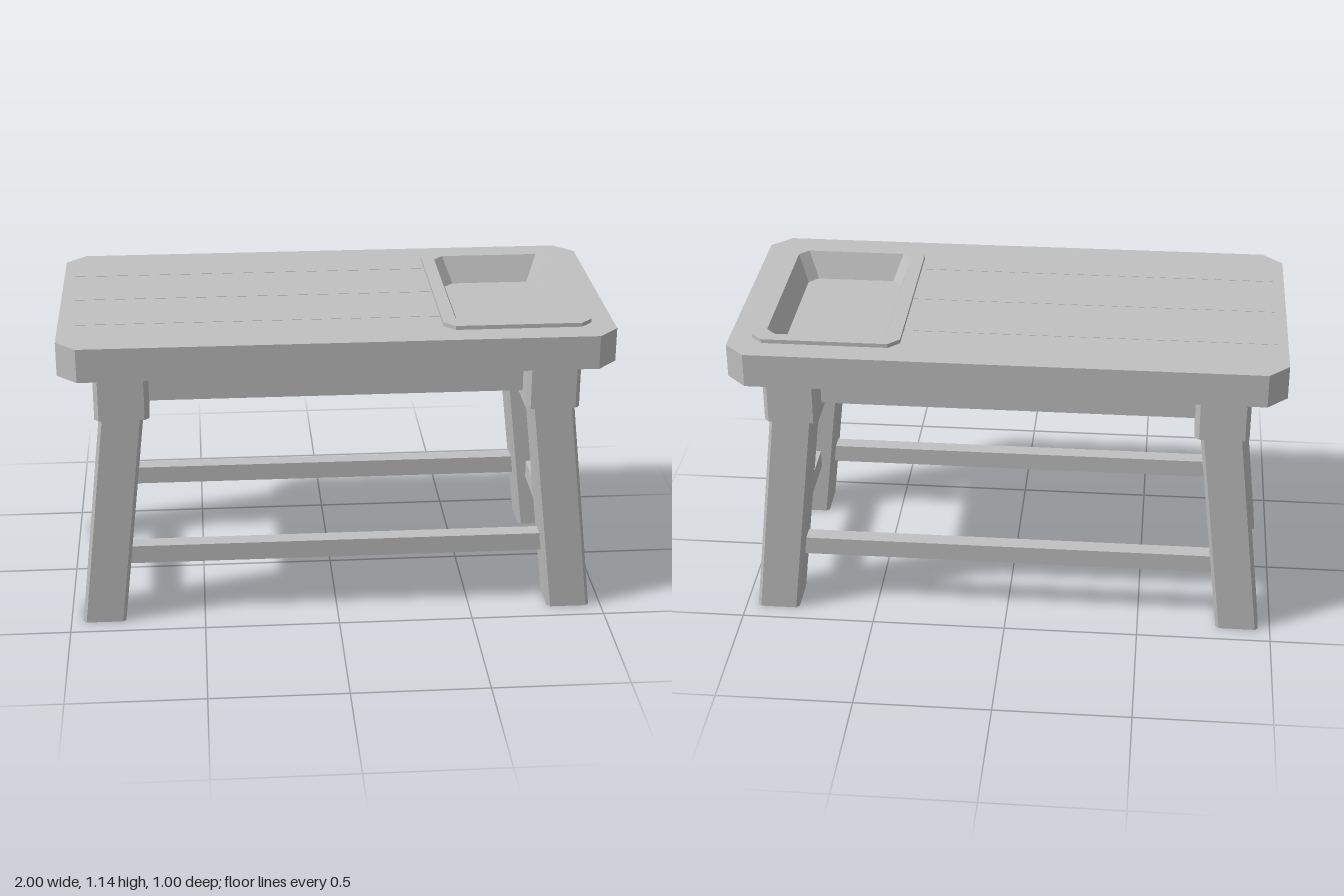
import * as THREE from 'three';

const wood = new THREE.MeshStandardMaterial({ color: 0xc0c0c0 });
wood.name = 'plain grey';

// Corner points of a rectangle with cut corners
function cutRect(hx, hz, c) {
  return [
    [hx, -hz + c], [hx, hz - c], [hx - c, hz], [-hx + c, hz],
    [-hx, hz - c], [-hx, -hz + c], [-hx + c, -hz], [hx - c, -hz],
  ];
}

// Skin over cut-corner rectangles, closed at both ends: [y, halfX, halfZ, cut, centreX, centreZ]
function loft(sections) {
  const rings = sections.map(([y, hx, hz, c, cx = 0, cz = 0]) =>
    cutRect(hx, hz, c).map(([x, z]) => [x + cx, y, z + cz]));
  const pos = [];
  const tri = (...pts) => pts.forEach((p) => pos.push(...p));
  for (let r = 0; r < rings.length - 1; r++) {
    const a = rings[r], b = rings[r + 1];
    for (let i = 0; i < 8; i++) {
      const j = (i + 1) % 8;
      tri(a[i], b[i], a[j]);
      tri(a[j], b[i], b[j]);
    }
  }
  const first = rings[0], last = rings[rings.length - 1];
  for (let i = 1; i < 7; i++) {
    tri(first[0], first[i], first[i + 1]);
    tri(last[0], last[i + 1], last[i]);
  }
  const g = new THREE.BufferGeometry();
  g.setAttribute('position', new THREE.Float32BufferAttribute(pos, 3));
  g.computeVertexNormals();
  return g;
}

export function createModel() {
  const model = new THREE.Group();
  model.name = 'workTable';

  const add = (name, geometry, x = 0, y = 0, z = 0) => {
    const mesh = new THREE.Mesh(geometry, wood);
    mesh.name = name;
    mesh.position.set(x, y, z);
    model.add(mesh);
  };
  const box = (name, w, h, d, x, y, z) => add(name, new THREE.BoxGeometry(w, h, d), x, y, z);

  // Table top with clipped corners and an opening for the basin
  const basinX = 0.65;
  const toVectors = (pts, dx = 0) => pts.map(([x, z]) => new THREE.Vector2(x + dx, z));
  const outline = new THREE.Shape(toVectors(cutRect(1, 0.5, 0.073)));
  outline.holes.push(new THREE.Path(toVectors(cutRect(0.225, 0.362, 0.035), basinX)));
  const top = new THREE.ExtrudeGeometry(outline, { depth: 0.125, bevelEnabled: false });
  top.rotateX(-Math.PI / 2);
  add('tableTop', top, 0, 1, 0);

  // Plank seams
  for (const z of [-0.26, 0, 0.26]) {
    box('plankSeam', 1.35, 0.002, 0.004, -0.285, 1.125, z);
  }

  // Sunken basin: underside, outer wall, rim, inner wall, floor
  add('basin', loft([
    [0.975, 0.207, 0.345, 0.03],
    [1.0, 0.224, 0.361, 0.035],
    [1.125, 0.224, 0.361, 0.035],
    [1.125, 0.268, 0.403, 0.04],
    [1.14, 0.268, 0.403, 0.04],
    [1.14, 0.22, 0.357, 0.035],
    [1.04, 0.181, 0.318, 0.035],
  ]), basinX, 0, 0);

  // Splayed legs with upright blocks at their heads
  for (const sx of [-1, 1]) {
    for (const sz of [-1, 1]) {
      add('leg', loft([
        [0, 0.08, 0.081, 0.012, sx * 0.876, sz * 0.35],
        [0.84, 0.08, 0.081, 0.012, sx * 0.78, sz * 0.35],
      ]));
      add('legBlock', loft([
        [0.828, 0.098, 0.097, 0.016],
        [1.0, 0.098, 0.097, 0.016],
      ]), sx * 0.778, 0, sz * 0.35);
    }
  }

  // Aprons and stretchers, mirrored
  for (const s of [-1, 1]) {
    box('longApron', 1.38, 0.135, 0.05, 0, 0.9325, s * 0.332);
    box('endApron', 0.05, 0.135, 0.53, s * 0.76, 0.9325, 0);
    box('longStretcher', 1.58, 0.07, 0.06, 0, 0.25, s * 0.345);
    box('endStretcher', 0.06, 0.07, 0.56, s * 0.847, 0.25, 0);
  }

  return model;
}
